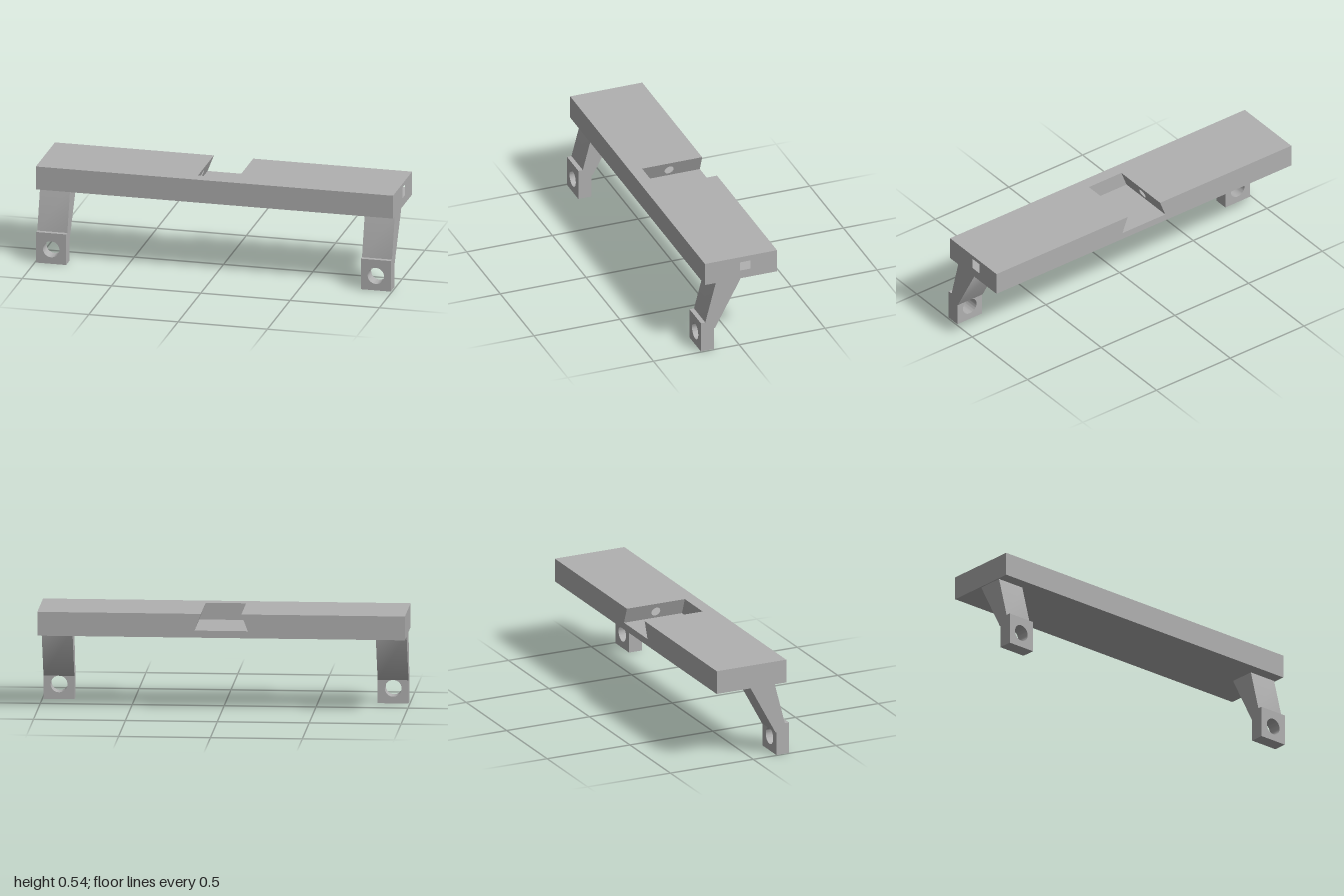
import * as THREE from 'three';
import { toCreasedNormals } from 'three/addons/utils/BufferGeometryUtils.js';

const BOTTOM = 0.412, FLOOR = 0.451, TOP = 0.543; // deck levels
const BACK = -0.22, FRONT = 0.2, NOTCH_FRONT = 0.13;
const BORE_Z = -0.035, BORE_Y = 0.491;

const rect = (a0, a1, b0, b1) => [[a0, b0], [a1, b0], [a1, b1], [a0, b1]];
const toPath = (pts, Type) => new Type(pts.map(([a, b]) => new THREE.Vector2(a, b)));
const circle = (a, b, r, n = 40) => Array.from({ length: n }, (_, i) => {
  const t = (i / n) * Math.PI * 2;
  return [a + r * Math.cos(t), b + r * Math.sin(t)];
});

// Extrude an outline of [x, y] points from z0 to z1
function extrudeZ(points, z0, z1, hole) {
  const shape = toPath(points, THREE.Shape);
  if (hole) shape.holes.push(toPath(hole, THREE.Path));
  return new THREE.ExtrudeGeometry(shape, { depth: z1 - z0, bevelEnabled: false }).translate(0, 0, z0);
}

// Extrude an outline of [z, y] points from x0 to x1
function extrudeX(points, x0, x1, hole) {
  const flip = (pts) => pts.map(([z, y]) => [-z, y]);
  return extrudeZ(flip(points), x0, x1, hole && flip(hole)).rotateY(Math.PI / 2);
}

// Lean the notch walls outward towards the floor, as a dovetail
function dovetail(geometry) {
  const p = geometry.attributes.position;
  for (let i = 0; i < p.count; i++) {
    const x = p.getX(i);
    if (Math.abs(x) < 0.12) {
      p.setX(i, x + Math.sign(x) * 0.035 * (TOP - p.getY(i)) / (TOP - FLOOR));
    }
  }
  geometry.computeVertexNormals();
  return geometry;
}

export function createModel() {
  const model = new THREE.Group();
  model.name = 'bracketShelf';
  const grey = new THREE.MeshStandardMaterial({ color: 0xb0b0b0 });
  grey.name = 'grey';

  const add = (name, geometry, parent = model) => {
    const mesh = new THREE.Mesh(toCreasedNormals(geometry, 0.5), grey);
    mesh.name = name;
    parent.add(mesh);
  };

  // Deck: base slab, front bar and bored blocks either side of the notch
  const deck = new THREE.Group();
  deck.name = 'deck';
  model.add(deck);
  add('baseSlab', extrudeX(rect(BACK, FRONT, BOTTOM, FLOOR), -1, 1), deck);
  add('frontBar', extrudeX(rect(NOTCH_FRONT, FRONT, FLOOR, TOP), -1, 1), deck);

  const block = rect(BACK, NOTCH_FRONT, FLOOR, TOP);
  const bore = circle(BORE_Z, BORE_Y, 0.026);
  const socket = rect(BORE_Z - 0.0305, BORE_Z + 0.0305, BORE_Y - 0.0305, BORE_Y + 0.0305);
  add('leftBoredBlock', dovetail(extrudeX(block, 0.11, 0.9, bore)), deck);
  add('leftSocketBlock', extrudeX(block, 0.9, 1, socket), deck);
  add('rightBoredBlock', dovetail(extrudeX(block, -0.5, -0.11, bore)), deck);
  add('rightSolidBlock', extrudeX(block, -1, -0.5), deck);

  // Legs: slanted strut over a drilled foot
  const strut = [
    [0.143, 0.129], [0.139, 0.129], [-0.01, 0.405], [-0.01, BOTTOM],
    [0.133, BOTTOM], [0.195, 0.175], [0.195, 0.16], [0.143, 0.16],
  ];
  for (const side of [1, -1]) {
    const leg = new THREE.Group();
    leg.name = side > 0 ? 'leftLeg' : 'rightLeg';
    const [x0, x1] = side > 0 ? [0.825, 0.993] : [-0.993, -0.825];
    add('strut', extrudeX(strut, x0, x1), leg);
    add('foot', extrudeZ(rect(x0, x1, 0, 0.175), 0.143, 0.221, circle(side * 0.909, 0.083, 0.046)), leg);
    model.add(leg);
  }
  return model;
}
